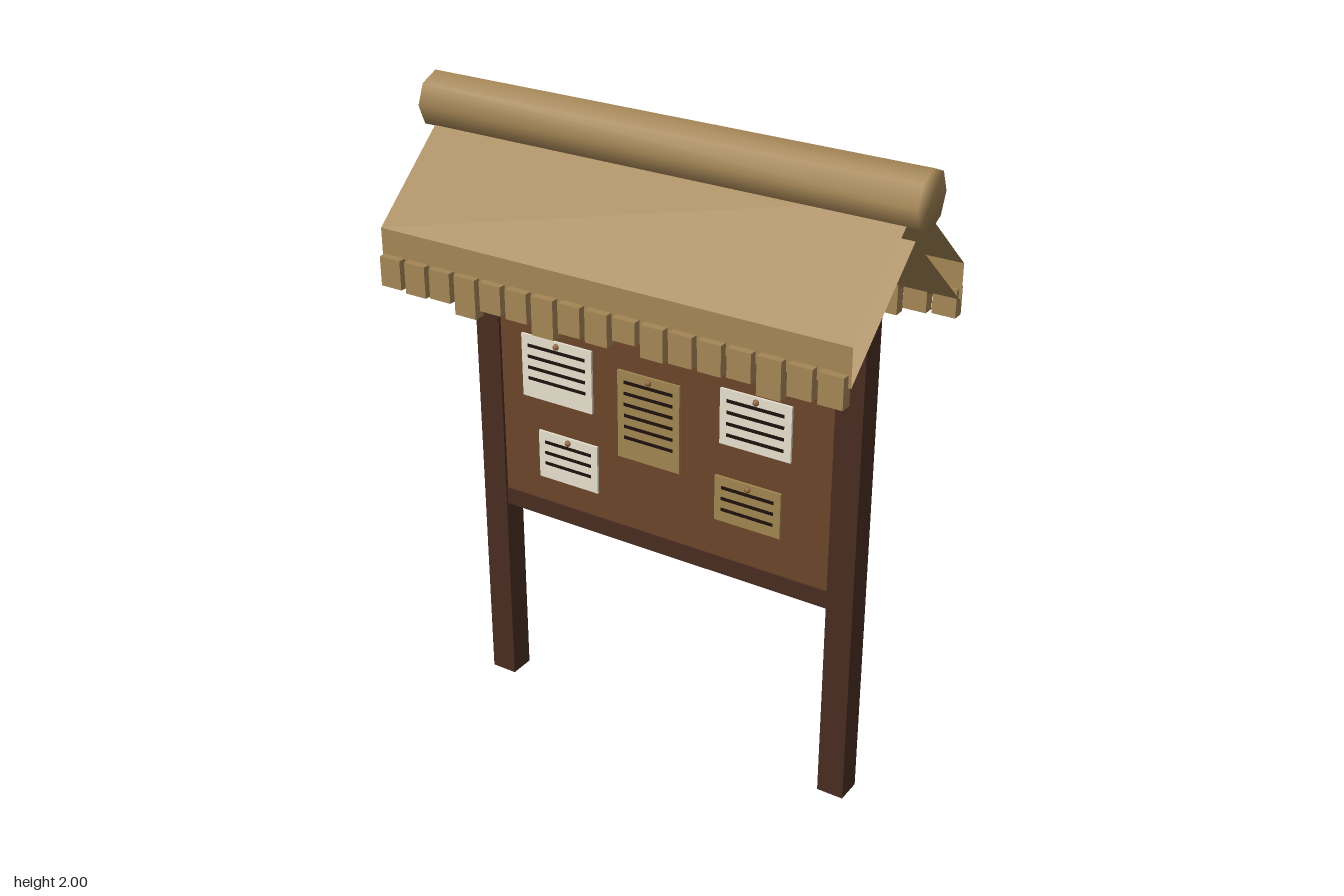
import * as THREE from 'three';
import { mergeVertices } from 'three/addons/utils/BufferGeometryUtils.js';

const mat = (name, color, side = THREE.FrontSide) => {
  const m = new THREE.MeshStandardMaterial({ color, side });
  m.name = name;
  return m;
};

export function createModel() {
  const model = new THREE.Group();
  model.name = 'noticeBoard';

  const straw = mat('straw', 0xa48555, THREE.DoubleSide);
  const darkWood = mat('darkWood', 0x482c20);
  const boardWood = mat('boardWood', 0x6a4529);
  const whitePaper = mat('whitePaper', 0xe6dfce);
  const tanPaper = mat('tanPaper', 0xa08550);
  const ink = mat('ink', 0x1e100c);
  const brass = mat('brass', 0x93653a);

  const add = (name, geometry, material, parent = model) => {
    const mesh = new THREE.Mesh(geometry, material);
    mesh.name = name;
    parent.add(mesh);
    return mesh;
  };
  // box given by its limits on each axis
  const box = (name, material, [x0, x1], [y0, y1], [z0, z1], parent) => {
    const mesh = add(name, new THREE.BoxGeometry(x1 - x0, y1 - y0, z1 - z0), material, parent);
    mesh.position.set((x0 + x1) / 2, (y0 + y1) / 2, (z0 + z1) / 2);
    return mesh;
  };

  // posts, rails and board
  box('leftPost', darkWood, [0.57, 0.655], [0, 1.655], [-0.041, 0.041]);
  box('rightPost', darkWood, [-0.655, -0.57], [0, 1.655], [-0.041, 0.041]);
  box('topRail', darkWood, [-0.57, 0.57], [1.39, 1.45], [-0.035, 0.035]);
  box('bottomRail', darkWood, [-0.57, 0.57], [0.643, 0.7], [-0.035, 0.035]);
  box('board', boardWood, [-0.57, 0.57], [0.7, 1.39], [-0.032, 0.032]);

  // notices: left, right, bottom, top, line count, material
  const notices = [
    [-0.488, -0.235, 1.05, 1.255, 4, whitePaper],
    [-0.143, 0.071, 0.938, 1.222, 6, tanPaper],
    [0.206, 0.438, 1.08, 1.255, 4, whitePaper],
    [-0.435, -0.22, 0.785, 0.943, 3, whitePaper],
    [0.192, 0.411, 0.826, 0.972, 3, tanPaper],
  ];
  for (const [x0, x1, y0, y1, lines, paper] of notices) {
    const notice = new THREE.Group();
    notice.name = 'notice';
    model.add(notice);
    box('paper', paper, [x0, x1], [y0, y1], [0.032, 0.04], notice);
    for (let i = 0; i < lines; i++) {
      const y = y1 - 0.034 - i * 0.036;
      box('writingLine', ink, [x0 + 0.023, x1 - 0.023], [y - 0.005, y + 0.005], [0.04, 0.042], notice);
    }
    const pin = add('pin', new THREE.SphereGeometry(0.01, 8, 6), brass, notice);
    pin.position.set((x0 + x1) / 2 + 0.002, y1 - 0.015, 0.042);
  }

  // roof shell, open at both ends: slopes, eave faces and underside
  const half = 0.755;
  const section = [
    [0.325, 1.513], [0.325, 1.626], [0, 1.91],
    [-0.325, 1.626], [-0.325, 1.513], [0, 1.797],
  ];
  const positions = [];
  section.forEach(([z0, y0], i) => {
    const [z1, y1] = section[(i + 1) % section.length];
    const a = [-half, y0, z0], b = [half, y0, z0], c = [half, y1, z1], d = [-half, y1, z1];
    positions.push(...a, ...b, ...c, ...a, ...c, ...d);
  });
  const roof = new THREE.BufferGeometry();
  roof.setAttribute('position', new THREE.Float32BufferAttribute(positions, 3));
  roof.computeVertexNormals();
  add('roof', roof, straw);

  // ragged straw ends hanging along both eaves, listed from right to left
  const fringe = (name, z, drops) => {
    const group = new THREE.Group();
    group.name = name;
    model.add(group);
    drops.forEach((drop, i) => {
      const x = (i - 8) * 0.0888;
      box('strawEnd', straw, [x - 0.036, x + 0.036], [1.549 - drop, 1.549], z, group);
    });
  };
  fringe('frontFringe', [0.313, 0.349], [0.09, 0.095, 0.09, 0.118, 0.087, 0.09, 0.117, 0.09,
    0.095, 0.067, 0.095, 0.09, 0.09, 0.085, 0.112, 0.09, 0.09]);
  fringe('backFringe', [-0.349, -0.313], [0.09, 0.09, 0.095, 0.1, 0.087, 0.095, 0.09, 0.09,
    0.09, 0.09, 0.09, 0.09, 0.1, 0.095, 0.117, 0.09, 0.085]);

  // ridge roll with softly shaded ends
  let roll = new THREE.CylinderGeometry(0.085, 0.085, 1.584, 8);
  roll.deleteAttribute('normal');
  roll.deleteAttribute('uv');
  roll = mergeVertices(roll);
  roll.rotateZ(Math.PI / 2);
  roll.computeVertexNormals();
  add('ridgeRoll', roll, straw).position.y = 1.915;

  return model;
}
